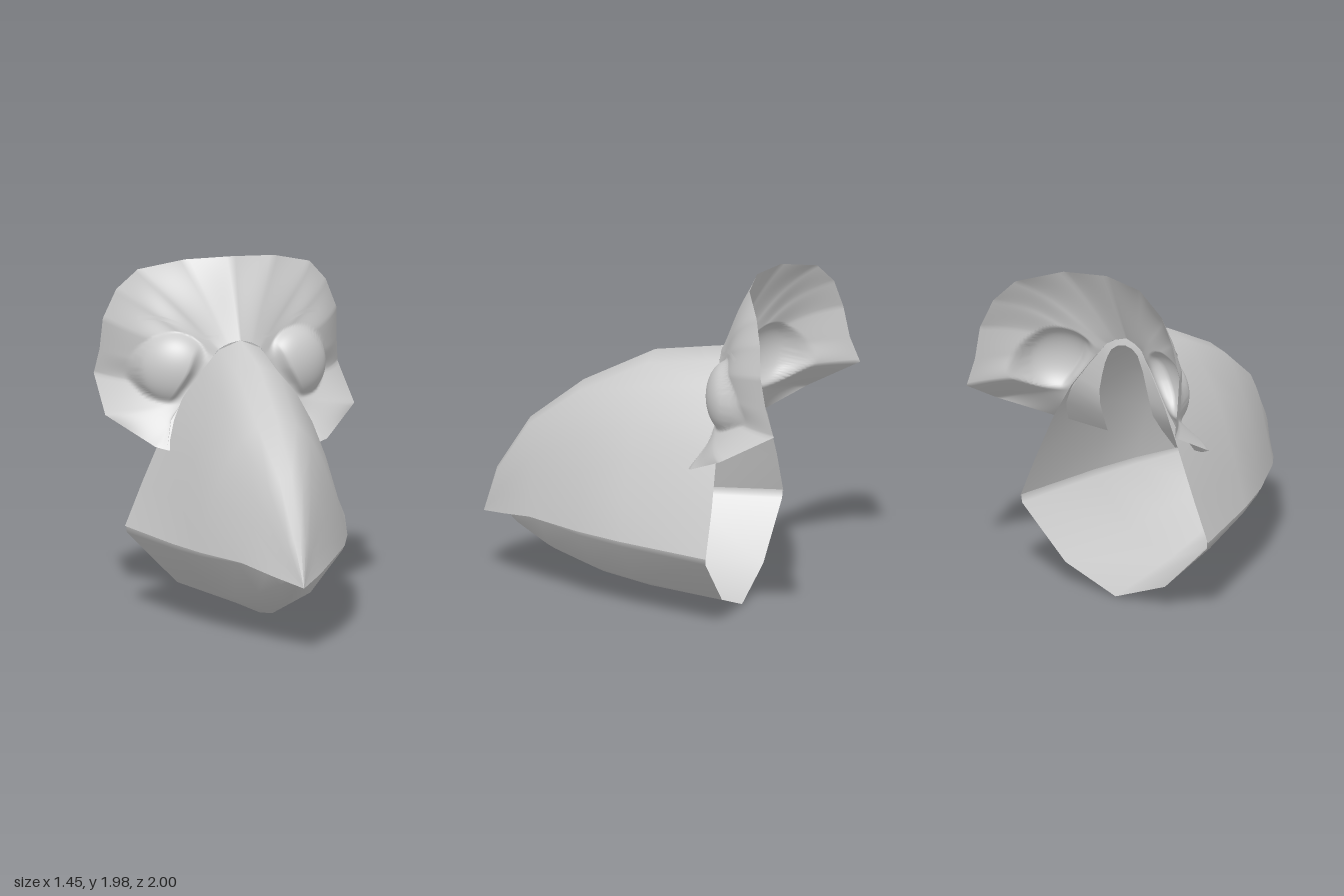
import * as THREE from 'three';

const material = new THREE.MeshStandardMaterial({ color: 0xcccccc, side: THREE.DoubleSide });
const lerp = THREE.MathUtils.lerp;

// Skin a smooth surface over rows of equally many [x, y, z] points
function sheet(name, rows) {
  const n = rows[0].length, index = [];
  for (let i = 0; i < rows.length - 1; i++) {
    for (let j = 0; j < n - 1; j++) {
      const a = i * n + j, b = a + n;
      index.push(a, a + 1, b, a + 1, b + 1, b);
    }
  }
  const geometry = new THREE.BufferGeometry();
  geometry.setAttribute('position', new THREE.Float32BufferAttribute(rows.flat(2), 3));
  geometry.setIndex(index);
  geometry.computeVertexNormals();
  const mesh = new THREE.Mesh(geometry, material);
  mesh.name = name;
  return mesh;
}

// Complete a half section that runs from the centre line to +x
const mirrorRow = half => [
  ...half.slice(1).reverse().map(([x, y, z]) => [-x, y, z]),
  ...half,
];
const mirrorRows = half => [
  ...half.slice(1).reverse().map(row => row.map(([x, y, z]) => [-x, y, z])),
  ...half,
];

// Upper beak: [zRidge, yRidge, zEdge, halfWidth, yEdge, roundness]
function upperBeak() {
  const flat = [[0, 1], [0.19, 0.95], [0.33, 0.84], [0.5, 0.69], [0.66, 0.5], [0.84, 0.24], [1, 0]];
  const round = [[0, 1], [0.3, 0.96], [0.56, 0.84], [0.76, 0.63], [0.9, 0.4], [0.98, 0.17], [1, 0]];
  const stations = [
    [-0.44, 1.53, -0.565, 0.64, 0.47, 0],
    [-0.03, 1.46, 0, 0.51, 0.47, 0.4],
    [0.4, 1.23, 0.29, 0.42, 0.47, 0.7],
    [0.72, 0.97, 0.63, 0.27, 0.47, 0.55],
    [0.92, 0.65, 0.83, 0.14, 0.425, 0.5],
    [1, 0.38, 1, 0, 0.38, 1],
  ];
  return sheet('upperBeak', stations.map(([zr, yr, ze, w, ye, r]) =>
    mirrorRow(flat.map(([fx, fy], i) => {
      const x = lerp(fx, round[i][0], r), h = lerp(fy, round[i][1], r);
      return [x * w, lerp(ye, yr, h), lerp(ze, zr, h ** 3)];
    }))));
}

// Lower beak: [z, halfWidth, yEdge, yKeel], its rim tucked just inside the upper beak
function lowerBeak() {
  const profile = [[0, 1], [0.53, 0.72], [0.985, 0.1], [0.99, 0]];
  const stations = [
    [-0.55, 0.64, 0.482, 0],
    [0, 0.51, 0.482, 0.05],
    [0.28, 0.42, 0.482, 0.1],
    [0.57, 0.285, 0.485, 0.2],
    [0.77, 0.15, 0.465, 0.32],
    [0.87, 0.04, 0.44, 0.4],
  ];
  return sheet('lowerBeak', stations.map(([z, w, ye, yk]) =>
    mirrorRow(profile.map(([x, d]) => [x * w, lerp(ye, yk, d), z - 0.012 * (1 - d)]))));
}

// Mask spokes: [tucked edge inside the beak, edge at the beak, outer rim, fullness]
const spokes = [
  [[0, 1.49, -0.45], [0, 1.53, -0.44], [0, 1.975, -0.64], 0],
  [[0.05, 1.48, -0.455], [0.07, 1.51, -0.45], [0.26, 1.96, -0.69], 0.08],
  [[0.09, 1.45, -0.46], [0.12, 1.48, -0.46], [0.5, 1.89, -0.82], 0.3],
  [[0.11, 1.41, -0.465], [0.15, 1.44, -0.47], [0.61, 1.77, -0.88], 0.5],
  [[0.13, 1.36, -0.465], [0.18, 1.4, -0.475], [0.68, 1.6, -0.91], 0.65],
  [[0.15, 1.28, -0.465], [0.22, 1.34, -0.485], [0.69, 1.42, -0.945], 0.65],
  [[0.17, 1.19, -0.46], [0.28, 1.25, -0.5], [0.71, 1.27, -1], 0.5],
  [[0.18, 1.1, -0.44], [0.33, 1.17, -0.505], [0.725, 1.09, -0.68], 0.15],
  [[0.2, 1, -0.38], [0.39, 1.08, -0.49], [0.5, 0.945, -0.42], 0],
  [[0.23, 0.87, -0.29], [0.44, 0.93, -0.39], [0.47, 0.937, -0.405], 0],
];

// Strip of the mask that tucks inside the beak
const innerFlap = () => sheet('innerFlap', mirrorRows(spokes.map(s => s.slice(0, 2))));

// Face mask: from the beak cut-out to the outer rim, swelling over the eyes
function faceMask() {
  const steps = 10, across = 40, count = (spokes.length - 1) * steps, half = [];
  const [inner, outer] = [1, 2].map(i => new THREE.CatmullRomCurve3(
    spokes.map(s => new THREE.Vector3(...s[i])), false, 'catmullrom', 0.35));
  for (let k = 0; k <= count; k++) {
    const s = Math.min(Math.floor(k / steps), spokes.length - 2), f = k / steps - s;
    const straight = i => new THREE.Vector3(...spokes[s][i])
      .lerp(new THREE.Vector3(...spokes[s + 1][i]), f);
    const a = inner.getPoint(k / count), b = outer.getPoint(k / count);
    const rimA = straight(1), rimB = straight(2), row = [];
    const fullness = lerp(spokes[s][3], spokes[s + 1][3], f * f * (3 - 2 * f));
    for (let j = 0; j <= across; j++) {
      // Smooth inside, straight-sided towards the rim
      const t = j / across;
      const p = a.clone().lerp(b, t).lerp(rimA.clone().lerp(rimB, t), t ** 3);
      const base = p.z + fullness * t * t * (1 - t);
      // Hollow eye bulge, blended into the cheek
      const d = 1 - ((p.x - 0.345) / 0.205) ** 2 - ((p.y - 1.35) / 0.21) ** 2;
      const eye = -0.605 - 0.25 * (p.x - 0.345) + (d > 0 ? 0.145 * Math.sqrt(d) : 0.4 * d);
      const blend = Math.max(0.03 - Math.abs(base - eye), 0) ** 2 / 0.12;
      row.push([p.x, p.y, lerp(base, Math.max(base, eye) + blend, Math.min(1, t * 6, (1 - t) * 6))]);
    }
    half.push(row);
  }
  return sheet('faceMask', mirrorRows(half));
}

// Thin brow strip laid on the mask
function brow(mask, side) {
  const path = new THREE.CatmullRomCurve3(
    [[0.12, 1.548], [0.19, 1.543], [0.32, 1.61], [0.42, 1.64], [0.53, 1.633]]
      .map(([x, y]) => new THREE.Vector3(x, y, 0)));
  const ray = new THREE.Raycaster(), back = new THREE.Vector3(0, 0, -1);
  const rows = path.getPoints(14).map(p => [-0.012, 0.012].map(dy => {
    ray.set(new THREE.Vector3(p.x * side, p.y + dy, 2), back);
    return [p.x * side, p.y + dy, ray.intersectObject(mask)[0].point.z + 0.012];
  }));
  return sheet(side > 0 ? 'leftBrow' : 'rightBrow', rows);
}

export function createModel() {
  const model = new THREE.Group();
  model.name = 'birdMask';
  const mask = faceMask();
  model.add(upperBeak(), lowerBeak(), innerFlap(), mask, brow(mask, 1), brow(mask, -1));
  return model;
}
